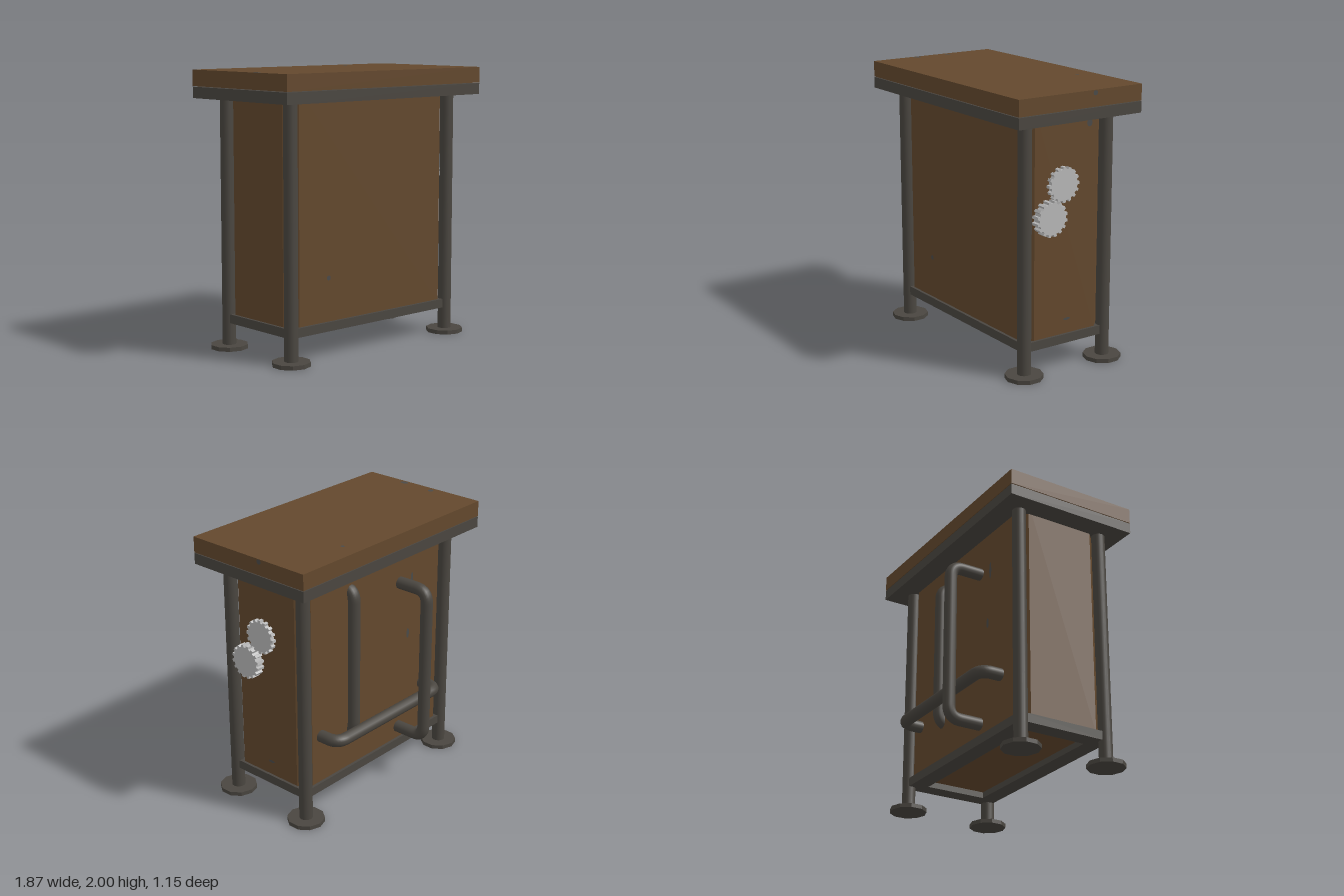
import * as THREE from 'three';

const mat = (name, color, side = THREE.FrontSide) => {
  const m = new THREE.MeshStandardMaterial({ color, side });
  m.name = name;
  return m;
};

export function createModel() {
  const group = new THREE.Group();
  const wood = mat('brown wood', 0x63482d);
  const iron = mat('dark iron', 0x4a4640);
  const steel = mat('light steel', 0xb8b8b8);
  const stain = mat('grey stain', 0x4b4a48);
  const midZ = 0.0625; // centre of cabinet and top in depth

  function add(name, geometry, material, x = 0, y = 0, z = 0) {
    const mesh = new THREE.Mesh(geometry, material);
    mesh.name = name;
    mesh.position.set(x, y, z);
    group.add(mesh);
    return mesh;
  }

  // Rectangle corners, counter-clockwise
  const rect = (w, d) => [[-w, -d], [w, -d], [w, d], [-w, d]].map(p => new THREE.Vector2(...p));

  // Flat outline extruded upward from y0 to y1
  function slab(name, shape, y0, y1, material) {
    const g = new THREE.ExtrudeGeometry(shape, { depth: y1 - y0, bevelEnabled: false });
    g.rotateX(-Math.PI / 2);
    return add(name, g, material, 0, y0, midZ);
  }

  // Cabinet with chamfered vertical corners
  const w = 0.77, d = 0.3445, c = 0.08;
  const outline = [[-w + c, -d], [w - c, -d], [w, -d + c], [w, d - c],
    [w - c, d], [-w + c, d], [-w, d - c], [-w, -d + c]];
  slab('cabinet', new THREE.Shape(outline.map(p => new THREE.Vector2(...p))), 0.235, 1.89, wood);

  // Worktop and the frame under it
  add('worktop', new THREE.BoxGeometry(1.87, 0.115, 1.025), wood, 0, 1.9425, midZ);
  add('topFrame', new THREE.BoxGeometry(1.87, 0.08, 1.025), iron, 0, 1.84, midZ);

  // Open bottom frame
  const ring = new THREE.Shape(rect(0.79, 0.366));
  ring.holes.push(new THREE.Path(rect(0.66, 0.236).reverse()));
  slab('bottomFrame', ring, 0.19, 0.255, iron);

  // Legs and ten-sided feet
  const footGeo = new THREE.CylinderGeometry(0.1365, 0.1365, 0.03, 10).toNonIndexed();
  footGeo.computeVertexNormals();
  const legGeo = new THREE.CylinderGeometry(0.049, 0.049, 1.79, 20);
  for (const x of [-0.765, 0.765]) {
    for (const z of [-0.281, 0.406]) {
      add('leg', legGeo, iron, x, 0.915, z);
      add('foot', footGeo, iron, x, 0.015, z);
    }
  }

  // Pipe through corner points, with rounded bends
  function pipe(name, points, bend, radius = 0.045) {
    const p = points.map(q => new THREE.Vector3(...q));
    const path = new THREE.CurvePath();
    let from = p[0];
    for (let i = 1; i < p.length - 1; i++) {
      const toward = q => p[i].clone().add(q.clone().sub(p[i]).setLength(bend));
      const a = toward(p[i - 1]), b = toward(p[i + 1]);
      path.add(new THREE.LineCurve3(from, a));
      path.add(new THREE.QuadraticBezierCurve3(a, p[i], b));
      from = b;
    }
    path.add(new THREE.LineCurve3(from, p[p.length - 1]));
    add(name, new THREE.TubeGeometry(path, 100, radius, 14), iron);
  }
  pipe('tallPipeHandle', [[-0.25, 1.525, -0.27], [-0.25, 1.525, -0.53],
    [-0.25, 0.35, -0.53], [-0.25, 0.35, -0.27]], 0.09);
  pipe('crossPipe', [[-0.52, 0.622, -0.27], [-0.52, 0.622, -0.438],
    [0.6, 0.622, -0.438], [0.6, 0.622, -0.27]], 0.09);
  pipe('wallPipe', [[0.28, 1.645, -0.2], [0.28, 1.645, -0.308],
    [0.28, 0.535, -0.308], [0.28, 0.535, -0.2]], 0.09);

  // Toothed wheels on the left side
  function gear(name, y, z, thickness, turn) {
    const teeth = 16, shape = new THREE.Shape();
    for (let i = 0; i < teeth; i++) {
      [[-0.28, 0.11], [-0.2, 0.127], [0.2, 0.127], [0.28, 0.11]].forEach(([t, r], k) => {
        const a = (i + t) / teeth * Math.PI * 2 + turn;
        const px = Math.cos(a) * r, py = Math.sin(a) * r;
        if (i === 0 && k === 0) shape.moveTo(px, py);
        else shape.lineTo(px, py);
      });
    }
    const g = new THREE.ExtrudeGeometry(shape, { depth: thickness, bevelEnabled: false });
    g.rotateY(Math.PI / 2);
    add(name, g, steel, 0.767, y, z);
  }
  gear('upperGear', 1.342, 0.1, 0.037, 0);
  gear('lowerGear', 1.125, 0.22, 0.067, 0.2);

  // Small stains: position, half sizes, and the axis they face
  const spots = [
    ['z', -0.42, 0.565, 0.408, 0.018, 0.018],
    ['y', 0.4, 2.001, -0.31, 0.013, 0.015],
    ['y', -0.885, 2.001, -0.045, 0.022, 0.022],
    ['y', -0.9, 2.001, 0.22, 0.022, 0.035],
    ['x', 0.771, 1.74, -0.135, 0.024, 0.028],
    ['x', 0.936, 1.98, -0.05, 0.02, 0.018],
    ['x', 0.771, 0.36, 0.045, 0.03, 0.01],
    ['-z', -0.385, 1.5, -0.283, 0.015, 0.07],
    ['-z', -0.35, 1.09, -0.283, 0.015, 0.04],
  ];
  for (const [axis, x, y, z, a, b] of spots) {
    const g = new THREE.CircleGeometry(1, 8).scale(a, b, 1);
    if (axis === 'y') g.rotateX(-Math.PI / 2);
    if (axis === 'x') g.rotateY(Math.PI / 2);
    if (axis === '-z') g.rotateY(Math.PI);
    add('stain', g, stain, x, y, z);
  }

  return group;
}
